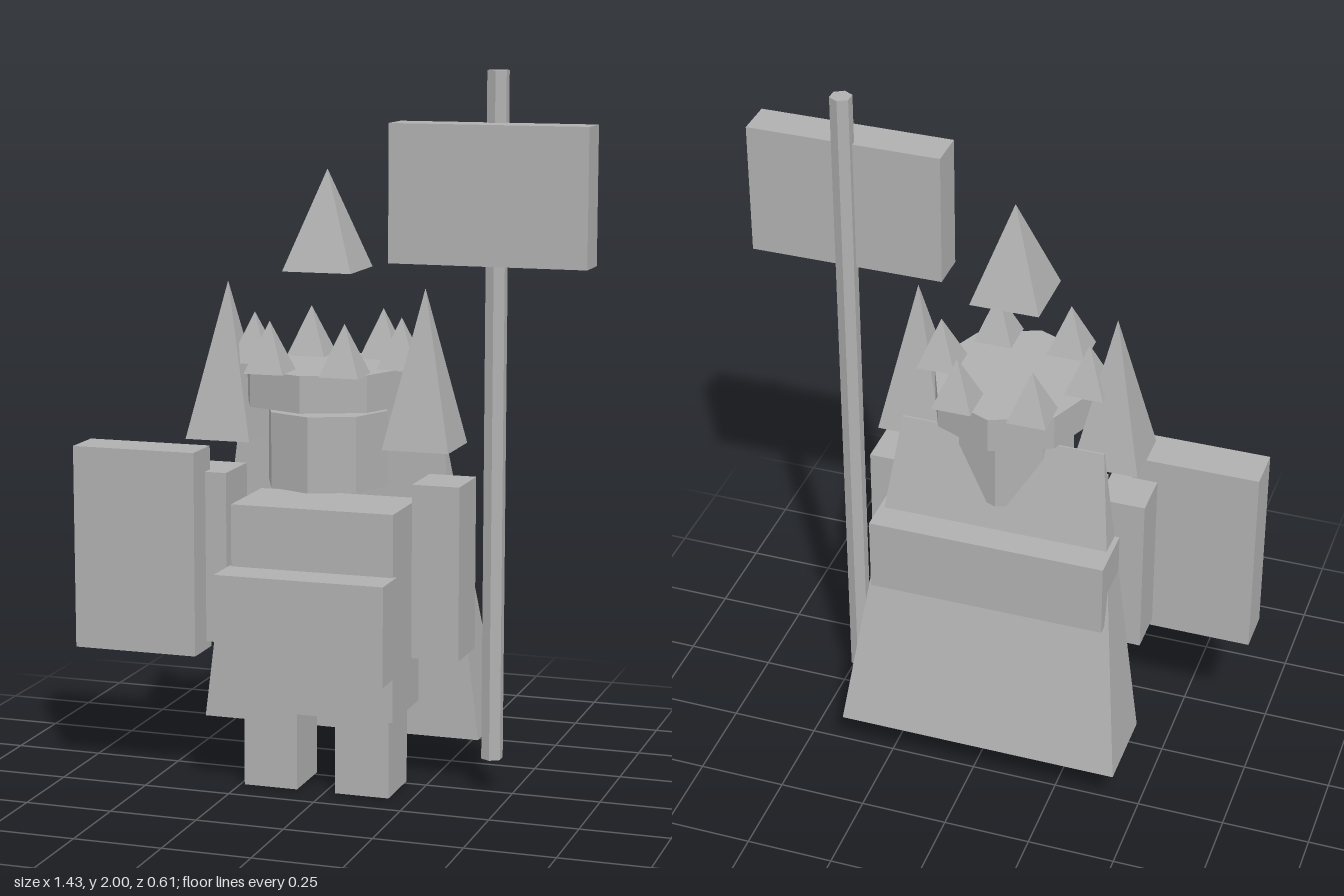
import * as THREE from 'three';

export function createModel() {
  const model = new THREE.Group();
  model.name = 'bannerKing';
  const stone = new THREE.MeshStandardMaterial({ color: 0xb0b0b0, flatShading: true });
  stone.name = 'stoneGrey';
  const cx = -0.026; // body centre line
  const headZ = 0.047;

  const add = (name, geometry, x, y, z) => {
    const mesh = new THREE.Mesh(geometry, stone);
    mesh.name = name;
    mesh.position.set(x, y, z);
    model.add(mesh);
    return mesh;
  };
  // Box given by its lower and upper limits on each axis
  const box = (name, x0, x1, y0, y1, z0, z1) =>
    add(name, new THREE.BoxGeometry(x1 - x0, y1 - y0, z1 - z0),
      (x0 + x1) / 2, (y0 + y1) / 2, (z0 + z1) / 2);
  // Square pyramid with sides parallel to the axes
  const spike = (name, x, y0, y1, z, half) =>
    add(name, new THREE.ConeGeometry(half * Math.SQRT2, y1 - y0, 4).rotateY(Math.PI / 4),
      x, (y0 + y1) / 2, z);
  const prism = (name, r, y0, y1, sides, x, z) =>
    add(name, new THREE.CylinderGeometry(r, r, y1 - y0, sides), x, (y0 + y1) / 2, z);

  // Torso, front pouch and back pack
  box('torso', -0.26, 0.208, 0.228, 0.81, -0.057, 0.19);
  box('frontPouch', -0.268, 0.216, 0.357, 0.635, 0.18, 0.305);
  box('backPack', -0.367, 0.315, 0.57, 0.787, -0.218, -0.058);

  // Paired legs, arms and shoulder spikes
  for (const [side, s] of [['right', -1], ['left', 1]]) {
    const legX = cx + s * 0.134;
    box(side + 'Leg', legX - 0.078, legX + 0.078, 0, 0.225, -0.02, 0.153);
    const armX = cx + s * 0.337;
    box(side + 'Arm', armX - 0.067, armX + 0.067, 0.4, 0.885, -0.035, 0.132);
    spike(side + 'ShoulderSpike', cx + s * 0.285, 0.98, 1.415, 0.064, 0.094);
  }

  // Cape: a wedge that is flat in front and tapers to a thin top edge
  const cape = new THREE.BoxGeometry(1, 1, 1);
  const p = cape.attributes.position;
  for (let i = 0; i < p.count; i++) {
    const top = p.getY(i) > 0;
    const back = p.getZ(i) < 0;
    const halfWidth = top ? 0.292 : 0.41;
    const z = back ? (top ? -0.063 : -0.302) : -0.058;
    p.setXYZ(i, Math.sign(p.getX(i)) * halfWidth, top ? 1.06 : 0.127, z);
  }
  cape.computeVertexNormals();
  add('cape', cape, cx, 0, 0);

  // Head, crown and crown points
  prism('head', 0.173, 0.86, 1.07, 8, cx, headZ);
  prism('crownBand', 0.236, 1.09, 1.192, 8, cx, headZ);
  for (let i = 0; i < 6; i++) {
    const a = (i * Math.PI) / 3;
    spike('crownPoint', cx + 0.213 * Math.cos(a), 1.19, 1.33, headZ + 0.202 * Math.sin(a), 0.056);
  }
  spike('floatingPyramid', cx, 1.455, 1.73, headZ, 0.098);

  // Shield, pole and banner
  box('shield', -0.718, -0.358, 0.377, 0.953, 0.094, 0.22);
  prism('bannerPole', 0.031, 0.095, 2, 6, 0.438, -0.008);
  box('banner', 0.165, 0.715, 1.483, 1.86, -0.007, 0.103);

  return model;
}
